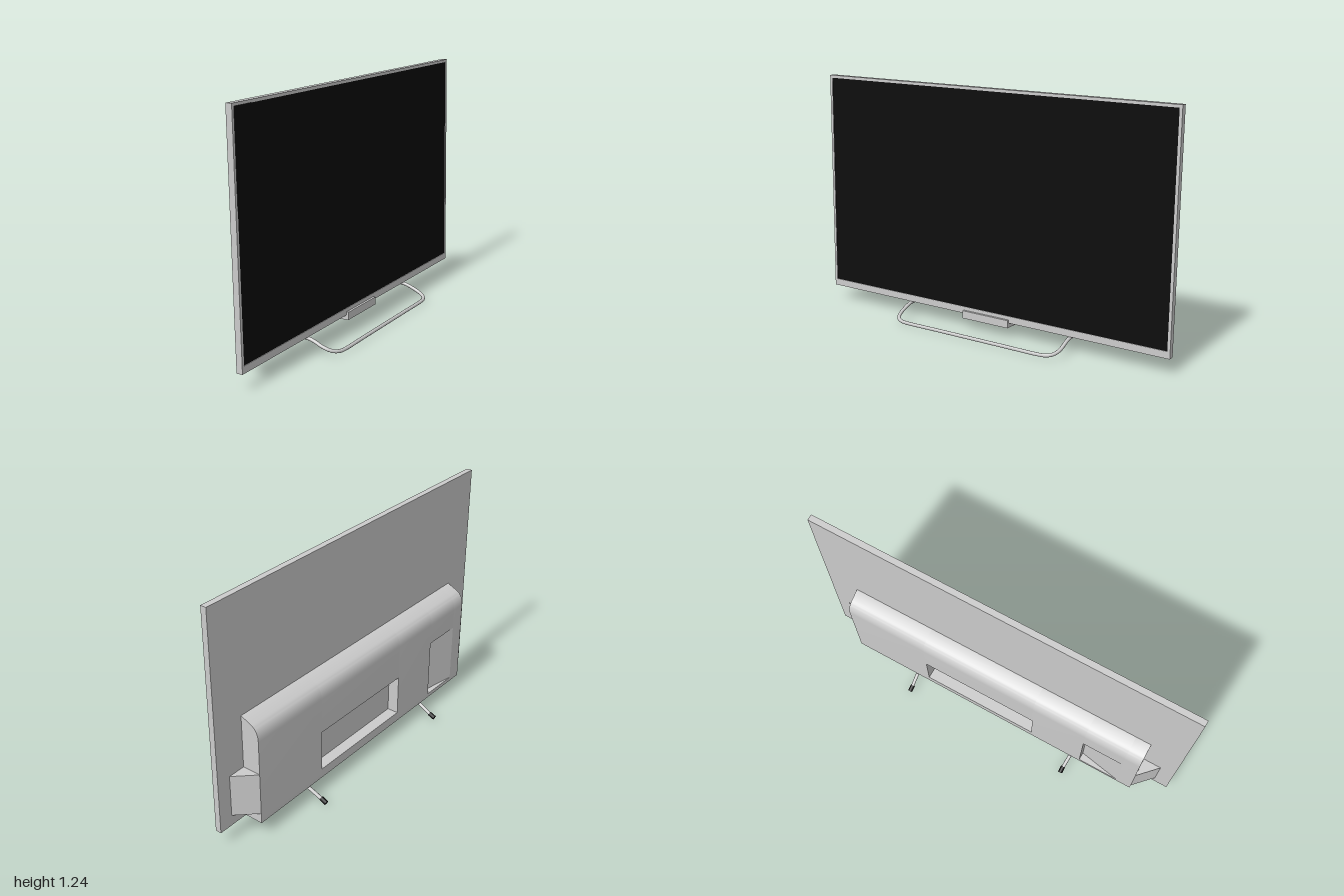
import * as THREE from 'three';
import { toCreasedNormals } from 'three/addons/utils/BufferGeometryUtils.js';

const grey = new THREE.MeshStandardMaterial({ color: 0xcccccc });
const black = new THREE.MeshStandardMaterial({ color: 0x0a0a0a });

function add(parent, name, geometry, material = grey) {
  const mesh = new THREE.Mesh(geometry, material);
  mesh.name = name;
  parent.add(mesh);
  return mesh;
}

// Box given by its limits
function box(x0, x1, y0, y1, z0, z1) {
  return new THREE.BoxGeometry(x1 - x0, y1 - y0, z1 - z0)
    .translate((x0 + x1) / 2, (y0 + y1) / 2, (z0 + z1) / 2);
}

// Extrude a side profile (u = -z, v = y) across the width from x0 to x1
function across(shape, x0, x1) {
  const g = new THREE.ExtrudeGeometry(shape, { depth: x1 - x0, bevelEnabled: false, curveSegments: 10 });
  return toCreasedNormals(g.rotateY(Math.PI / 2).translate(x0, 0, 0), 0.5);
}

// Extrude a floor plan of [x, z] points from y0 to y1
function upright(points, y0, y1) {
  const shape = new THREE.Shape(points.map(([x, z]) => new THREE.Vector2(x, -z)));
  return new THREE.ExtrudeGeometry(shape, { depth: y1 - y0, bevelEnabled: false })
    .rotateX(-Math.PI / 2).translate(0, y0, 0);
}

const BACK = 0.105; // depth of the housing's rear face

// Housing side profile with an optional notch in its rear face
function housingProfile(notch) {
  const s = new THREE.Shape();
  s.moveTo(0.005, 0);
  s.lineTo(BACK, 0);
  if (notch) {
    s.lineTo(BACK, notch.y0);
    s.lineTo(BACK - notch.depth, notch.y0);
    s.lineTo(BACK - notch.depth, notch.y1);
    s.lineTo(BACK, notch.y1);
  }
  s.lineTo(BACK, 0.45);
  s.quadraticCurveTo(BACK, 0.507, 0.066, 0.526);
  s.lineTo(0.008, 0.552);
  s.lineTo(0.005, 0.552);
  s.closePath();
  return s;
}

function createDisplay() {
  const display = new THREE.Group();
  display.name = 'display';

  // Panel with a raised bezel around the screen
  add(display, 'panel', box(-0.997, 0.997, 0, 1.156, -0.008, 0.019));
  const rect = (T, w, y0, y1) => new T([[-w, y0], [w, y0], [w, y1], [-w, y1]]
    .map(([x, y]) => new THREE.Vector2(x, y)));
  const frame = rect(THREE.Shape, 0.997, 0, 1.156);
  frame.holes.push(rect(THREE.Path, 0.983, 0.035, 1.142));
  add(display, 'bezel', new THREE.ExtrudeGeometry(frame, { depth: 0.004, bevelEnabled: false })
    .translate(0, 0, 0.019));
  add(display, 'screen', box(-0.983, 0.983, 0.035, 1.142, 0.018, 0.02), black);

  // Rear housing, in sections from side to side
  const mountRecess = { y0: 0.05, y1: 0.265, depth: 0.06 };
  const portRecess = { y0: 0.022, y1: 0.34, depth: 0.04 };
  const housing = new THREE.Group();
  housing.name = 'rearHousing';
  display.add(housing);
  [
    [-0.83, -0.75], [-0.75, -0.53, portRecess], [-0.53, -0.24],
    [-0.24, 0.39, mountRecess], [0.39, 0.83],
  ].forEach(([x0, x1, notch]) => add(housing, 'housingSection', across(housingProfile(notch), x0, x1)));

  // Sloping floor of the port recess
  add(housing, 'portRamp', upright(
    [[-0.75, -BACK], [-0.75, -BACK + 0.04], [-0.53, -BACK + 0.04]].reverse(),
    portRecess.y0, portRecess.y1));

  // Tapered side fairings
  for (const s of [-1, 1]) {
    const plan = [[s * 0.83, -0.005], [s * 0.925, -0.005], [s * 0.83, -BACK]];
    add(housing, 'sideFairing', upright(plan, 0.055, 0.275));
  }

  // Slight backward lean
  display.position.y = 0.08;
  display.rotation.x = -0.0155;
  return display;
}

function createStand() {
  const stand = new THREE.Group();
  stand.name = 'stand';

  // One bent tube: rear foot, up under the panel, along the front and back again
  const half = [
    [0.468, 0.016, -0.18], [0.472, 0.046, -0.12], [0.475, 0.067, -0.07], [0.476, 0.072, -0.04],
    [0.477, 0.072, 0.02], [0.477, 0.066, 0.045], [0.477, 0.044, 0.1], [0.47, 0.033, 0.128],
    [0.453, 0.025, 0.151], [0.425, 0.021, 0.164], [0.39, 0.02, 0.168], [0.2, 0.02, 0.168],
  ];
  const points = [...half, ...half.map(([x, y, z]) => [-x, y, z]).reverse()]
    .map((p) => new THREE.Vector3(...p));
  add(stand, 'standTube', new THREE.TubeGeometry(new THREE.CatmullRomCurve3(points), 140, 0.009, 10));

  // Rubber feet on the rear ends
  for (const s of [-1, 1]) {
    const foot = add(stand, 'rubberFoot', new THREE.CylinderGeometry(0.012, 0.012, 0.035, 12), black);
    foot.position.set(s * 0.468, 0.0185, -0.178);
    foot.rotation.x = Math.PI / 2 - 0.42;
  }

  // Central block under the panel
  const s = new THREE.Shape([[-0.035, 0.097], [-0.035, 0.057], [0.05, 0.053], [0.088, 0.082], [0, 0.097]]
    .map(([u, v]) => new THREE.Vector2(u, v)));
  add(stand, 'centreBlock', across(s, -0.135, 0.135));
  return stand;
}

export function createModel() {
  const model = new THREE.Group();
  model.name = 'television';
  model.add(createDisplay(), createStand());
  // Screen faces +x, turned slightly
  model.rotation.y = Math.PI / 2 + 0.067;
  return model;
}
